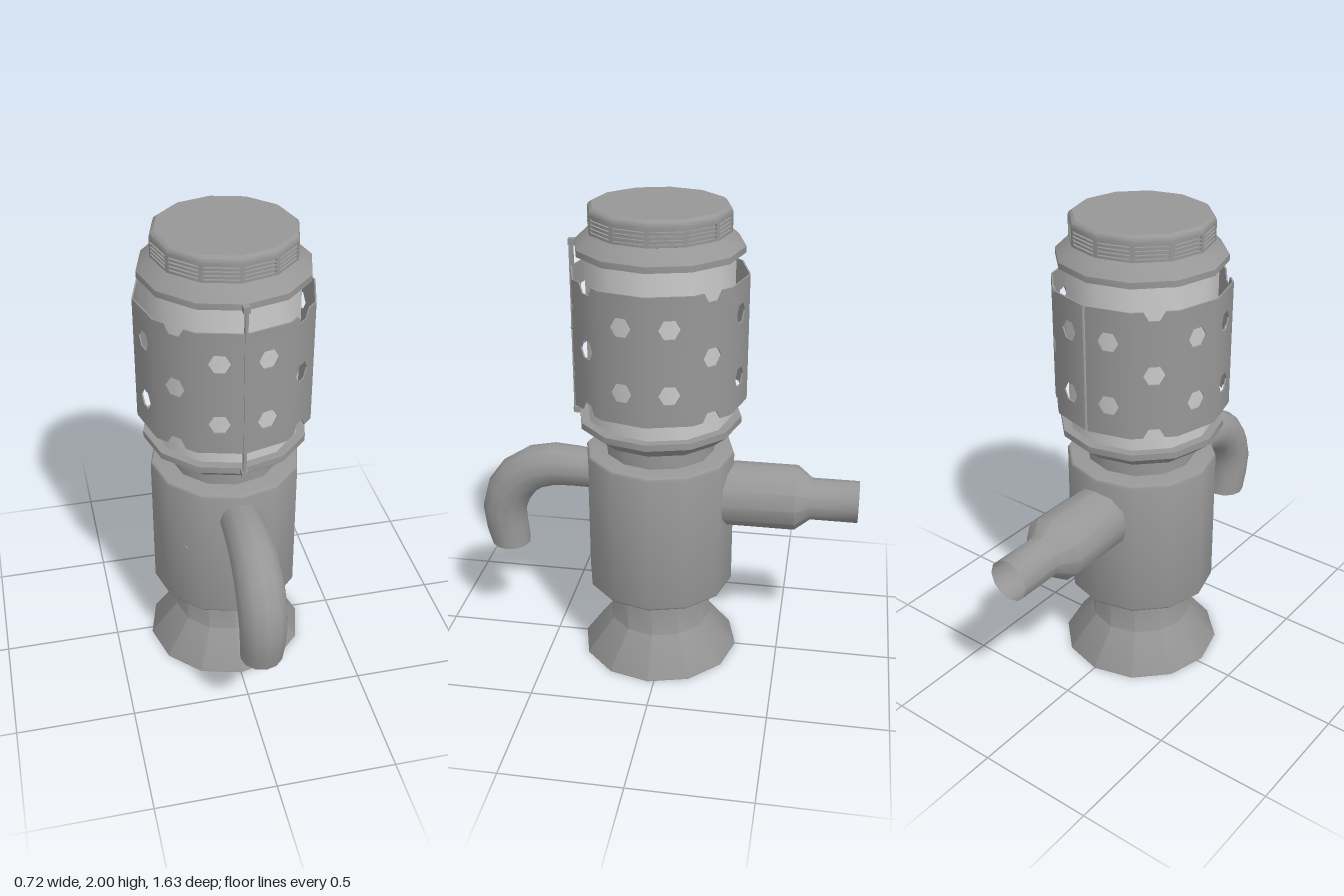
import * as THREE from 'three';
import { toCreasedNormals } from 'three/addons/utils/BufferGeometryUtils.js';

const SIDES = 12;
const STEP = (Math.PI * 2) / SIDES;
const AXIS_Z = 0.027; // the upright body sits slightly forward of the centre
const metal = new THREE.MeshStandardMaterial({ color: 0x979797, side: THREE.DoubleSide });
const pale = new THREE.MeshStandardMaterial({ color: 0xe4e4e4 });

function add(parent, name, geo, x = 0, y = 0, z = 0, material = metal) {
  const mesh = new THREE.Mesh(geo, material);
  mesh.name = name;
  mesh.position.set(x, y, z);
  parent.add(mesh);
  return mesh;
}

// twelve-sided turned part from [radius, height] pairs, bottom to top
function turned(points, crease = 0.6) {
  const profile = points.map(([r, y]) => new THREE.Vector2(r, y));
  return toCreasedNormals(new THREE.LatheGeometry(profile, SIDES), crease);
}

// closed loop of points, for holes
function loop(points) {
  return new THREE.Path(points.map(([x, y]) => new THREE.Vector2(x, y)));
}

function hexagon(cx, cy, r) {
  return loop(Array.from({ length: 6 }, (_, k) =>
    [cx + r * Math.cos((k * Math.PI) / 3), cy + r * Math.sin((k * Math.PI) / 3)]));
}

// plate on side i of a twelve-sided ring, shaded as part of a round surface
function sidePlate(outline, holes, radius, thickness, i) {
  const shape = new THREE.Shape(outline.map(([x, y]) => new THREE.Vector2(x, y)));
  shape.holes.push(...holes);
  const geo = new THREE.ExtrudeGeometry(shape, { depth: thickness, bevelEnabled: false });
  geo.translate(0, 0, radius * Math.cos(STEP / 2) - thickness);
  const { position, normal } = geo.attributes;
  for (let k = 0; k < position.count; k++) {
    const facing = normal.getZ(k);
    if (Math.abs(facing) < 0.9) continue;
    const angle = Math.atan2(position.getX(k), position.getZ(k));
    normal.setXYZ(k, facing * Math.sin(angle), 0, facing * Math.cos(angle));
  }
  return geo.rotateY((i + 0.5) * STEP);
}

// bent outlet whose radius swells slightly in the bend
function spoutGeometry(path, radiusAt, endY) {
  const rings = 9;
  const geo = new THREE.TubeGeometry(path, rings, 1, SIDES, false);
  const pos = geo.attributes.position;
  const v = new THREE.Vector3();
  for (let i = 0; i <= rings; i++) {
    const centre = path.getPointAt(i / rings);
    for (let j = 0; j <= SIDES; j++) {
      const k = i * (SIDES + 1) + j;
      v.fromBufferAttribute(pos, k).sub(centre).multiplyScalar(radiusAt(i / rings)).add(centre);
      pos.setXYZ(k, v.x, i === rings ? endY : v.y, v.z);
    }
  }
  return toCreasedNormals(geo, 0.9);
}

export function createModel() {
  const model = new THREE.Group();
  model.name = 'valveColumn';
  const column = new THREE.Group();
  column.name = 'column';
  column.position.z = AXIS_Z;
  model.add(column);

  // main stack; the flared base is hollow and open below
  add(column, 'flaredBase', turned([[0.341, 0], [0.341, 0.004], [0.221, 0.155], [0.221, 0.36]], 0.75));
  add(column, 'body', turned([[0, 0.34], [0.3, 0.34], [0.3075, 0.342], [0.313, 0.3475], [0.315, 0.355],
    [0.315, 0.952], [0.313, 0.9595], [0.3075, 0.965], [0.3, 0.967], [0, 0.967]]));
  add(column, 'neck', turned([[0.23, 0.95], [0.23, 1.06]]));
  add(column, 'lowerCollar', turned([[0, 1.05], [0.28, 1.05], [0.34, 1.1], [0.34, 1.127], [0, 1.127]]));
  add(column, 'innerCylinder', turned([[0.302, 1.12], [0.302, 1.83]]), 0, 0, 0, pale);
  add(column, 'upperCollar', turned([[0, 1.82], [0.34, 1.82], [0.34, 1.845], [0.282, 1.9], [0, 1.9]]));

  // cap: recessed core, rounded shoulder and slotted vent plates
  add(column, 'cap', turned([[0.272, 1.895], [0.286, 1.9], [0.286, 1.905], [0.273, 1.905], [0.273, 1.97],
    [0.286, 1.97], [0.286, 1.978], [0.281, 1.991], [0.268, 2], [0, 2]]));
  const vents = new THREE.Group();
  vents.name = 'capVents';
  column.add(vents);
  const ventHalf = 0.286 * Math.sin(STEP / 2);
  const ventOutline = [[-ventHalf, 1.903], [ventHalf, 1.903], [ventHalf, 1.972], [-ventHalf, 1.972]];
  for (let i = 0; i < SIDES; i++) {
    const slots = [];
    for (let s = 0; s < 4; s++) {
      const y = 1.91 + s * 0.0155;
      slots.push(loop([[-0.064, y], [-0.064, y + 0.009], [0.064, y + 0.009], [0.064, y]]));
    }
    add(vents, 'vent', sidePlate(ventOutline, slots, 0.286, 0.011, i));
  }

  // perforated sleeve in two halves, with seams at front and back
  const sleeve = new THREE.Group();
  sleeve.name = 'perforatedSleeve';
  column.add(sleeve);
  const R = 0.36, low = 1.21, high = 1.735, hole = 0.043, deep = hole * 0.866;
  const half = R * Math.sin(STEP / 2);
  for (let i = 0; i < SIDES; i++) {
    const left = -half + (i % 6 === 0 ? 0.006 : 0);
    const right = half - (i % 6 === 5 ? 0.006 : 0);
    const notched = i % 3 === 1;
    const outline = [[left, low]];
    if (notched) outline.push([-hole, low], [-hole / 2, low + deep], [hole / 2, low + deep], [hole, low]);
    outline.push([right, low], [right, high]);
    if (notched) outline.push([hole, high], [hole / 2, high - deep], [-hole / 2, high - deep], [-hole, high]);
    outline.push([left, high]);
    const shift = i % 3 === 0 ? 0.004 : -0.004;
    const holes = notched ? [hexagon(0, 1.475, hole)] : [1.605, 1.34].map((y) => hexagon(shift, y, hole));
    add(sleeve, 'sleevePanel', sidePlate(outline, holes, R, 0.006, i));
  }

  // front latch bar, its end brackets and pin
  add(column, 'latchBar', new THREE.BoxGeometry(0.012, 0.745, 0.018), 0, 1.4725, 0.355);
  for (const y of [1.113, 1.833]) {
    add(column, 'latchBracket', new THREE.BoxGeometry(0.026, 0.025, 0.05), 0, y, 0.34);
  }
  add(column, 'latchPin', new THREE.CylinderGeometry(0.009, 0.009, 0.006, 8).rotateX(Math.PI / 2), 0, 1.475, 0.363);

  // small stud on the front right side of the body
  const stud = new THREE.CylinderGeometry(0.017, 0.017, 0.01, 8).rotateX(Math.PI / 2);
  add(column, 'bodyStud', stud.translate(0, 0.655, 0.304).rotateY(-Math.PI / 4));

  // rear pipe: wide sleeve, taper and narrow open end
  const pipe = turned([[0, 0], [0.137, 0], [0.137, 0.415], [0.088, 0.478], [0.088, 0.675]], 0.75);
  add(model, 'rearPipe', pipe.rotateX(-Math.PI / 2), 0, 0.77, -0.14);

  // front spout
  const path = new THREE.CatmullRomCurve3([[0.22, 0.832], [0.34, 0.838], [0.47, 0.846], [0.56, 0.83],
    [0.645, 0.778], [0.7, 0.7], [0.724, 0.62], [0.716, 0.53], [0.702, 0.445]]
    .map(([z, y]) => new THREE.Vector3(0, y, z)));
  const radiusAt = (u) => 0.08 + 0.006 * u + 0.015 * Math.sin(Math.PI * u ** 1.3);
  add(model, 'spout', spoutGeometry(path, radiusAt, 0.445));
  add(model, 'spoutEnd', new THREE.CircleGeometry(0.085, SIDES).rotateX(Math.PI / 2), 0, 0.445, 0.702);

  return model;
}
